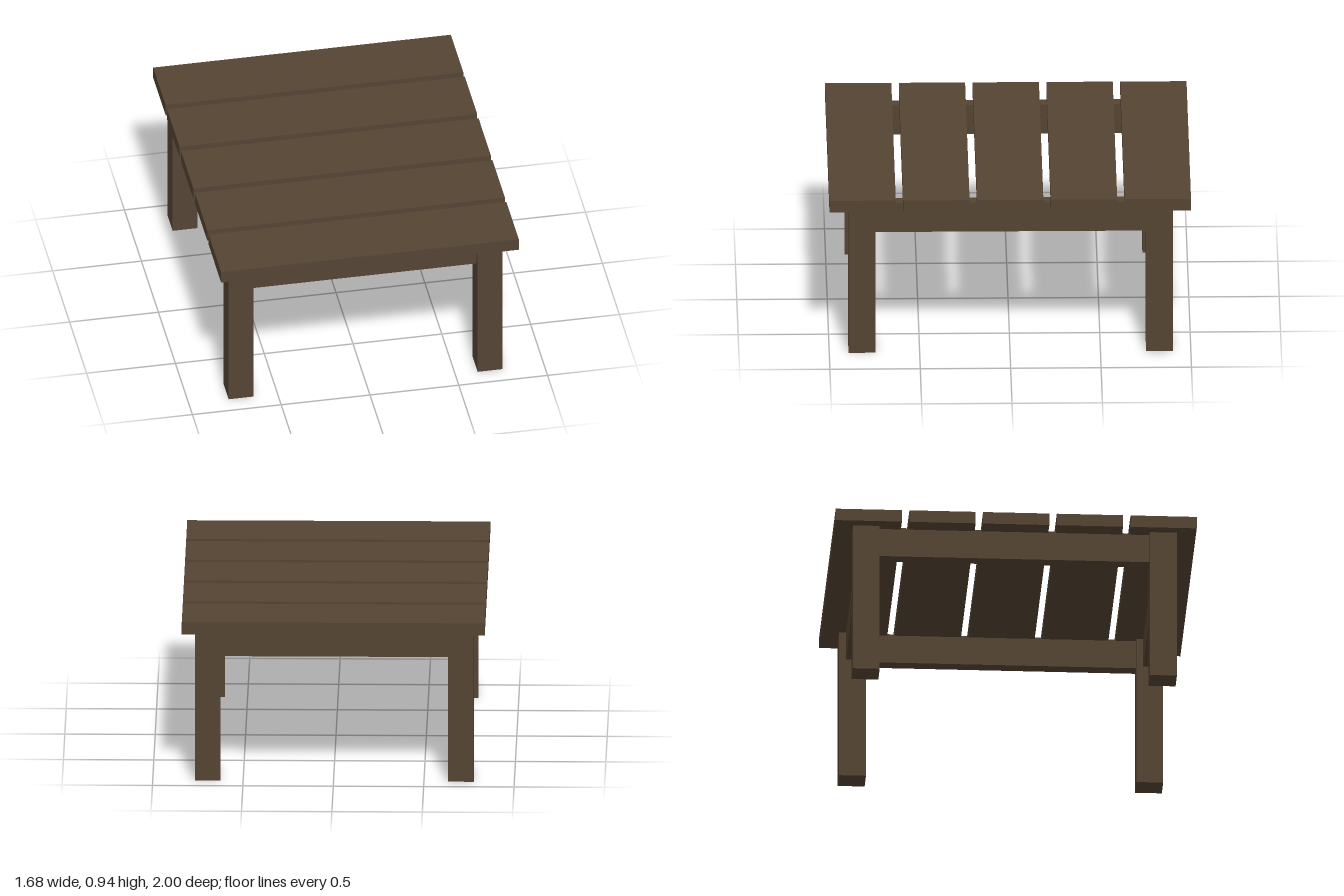
import * as THREE from 'three';

export function createModel() {
  const table = new THREE.Group();
  table.name = 'slattedTable';
  const wood = new THREE.MeshStandardMaterial({ color: 0x554433 });
  wood.name = 'dark brown wood';

  // Box given by its centre in x and z and its bottom and top heights
  function board(name, width, depth, bottom, top, x, z) {
    const mesh = new THREE.Mesh(new THREE.BoxGeometry(width, top - bottom, depth), wood);
    mesh.name = name;
    mesh.position.set(x, (bottom + top) / 2, z);
    table.add(mesh);
  }

  // Five top planks with narrow gaps
  for (let i = -2; i <= 2; i++) {
    board('topPlank' + (i + 3), 1.676, 0.367, 0.872, 0.942, 0, i * 0.4082);
  }

  // The base sits very slightly off centre below the top
  const baseX = -0.004, baseZ = -0.004;
  const legX = 0.701, legZ = 0.823, railX = 0.695;
  const legWidth = 0.141, legDepth = 0.149, railThickness = 0.073;
  const railBottom = 0.707, railTop = 0.88;

  for (const side of [-1, 1]) {
    // Four square legs
    for (const end of [-1, 1]) {
      const name = (end > 0 ? 'front' : 'back') + (side > 0 ? 'Left' : 'Right') + 'Leg';
      board(name, legWidth, legDepth, 0, 0.876, baseX + side * legX, baseZ + end * legZ);
    }

    // Side rails and end rails between the legs
    board(side > 0 ? 'leftRail' : 'rightRail', railThickness, 2 * legZ - legDepth,
      railBottom, railTop, baseX + side * railX, baseZ);
    board(side > 0 ? 'frontRail' : 'backRail', 2 * legX - legWidth, railThickness,
      railBottom, railTop, baseX, baseZ + side * legZ);
  }

  return table;
}
